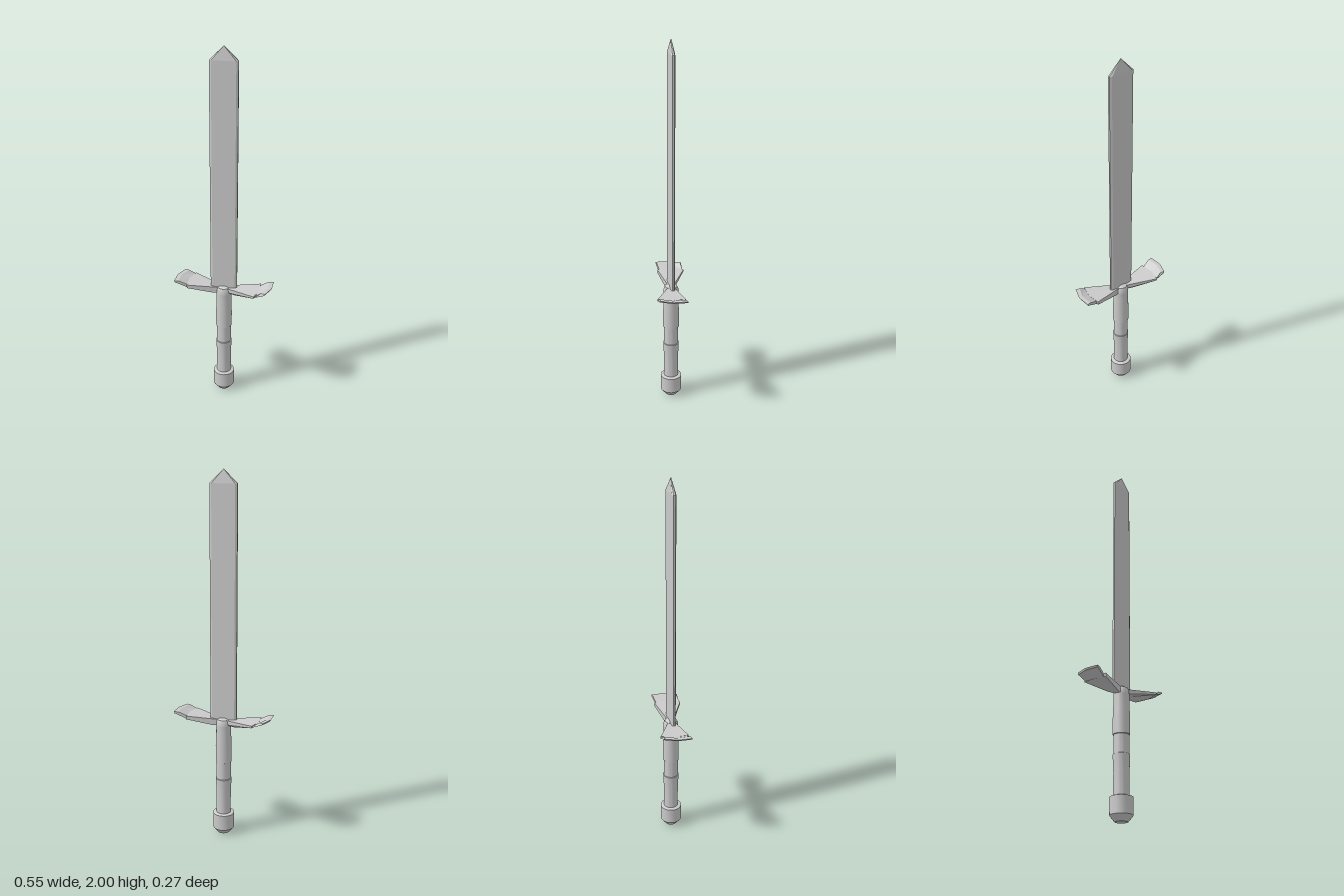
import * as THREE from 'three';
import { toCreasedNormals } from 'three/addons/utils/BufferGeometryUtils.js';

const smooth = new THREE.MeshStandardMaterial({ color: 0xcccccc });
const faceted = new THREE.MeshStandardMaterial({ color: 0xcccccc, flatShading: true, side: THREE.DoubleSide });

// Skins a row of cross-sections (each counter-clockwise seen from +z) and caps both ends.
function loft(rings) {
  const n = rings[0].length;
  const index = [];
  for (let r = 0; r < rings.length - 1; r++) {
    for (let i = 0; i < n; i++) {
      const a = r * n + i, b = r * n + (i + 1) % n;
      index.push(a, b, b + n, a, b + n, a + n);
    }
  }
  const last = (rings.length - 1) * n;
  for (let i = 1; i < n - 1; i++) {
    index.push(0, i + 1, i, last, last + i, last + i + 1);
  }
  const geometry = new THREE.BufferGeometry();
  geometry.setAttribute('position', new THREE.Float32BufferAttribute(rings.flat(2), 3));
  geometry.setIndex(index);
  const flat = geometry.toNonIndexed();
  flat.computeVertexNormals();
  return flat;
}

function mesh(name, geometry, material) {
  const m = new THREE.Mesh(geometry, material);
  m.name = name;
  return m;
}

function lathe(name, profile) {
  const points = profile.map(([r, y]) => new THREE.Vector2(r, y));
  return mesh(name, toCreasedNormals(new THREE.LatheGeometry(points, 24), 0.5), smooth);
}

// Flat blade with bevelled edges and a pointed end
function createBlade() {
  const section = (y, width, thickness) => [
    [0.073, -0.005], [0.073, 0.005], [0.062, 0.011],
    [-0.062, 0.011], [-0.073, 0.005], [-0.073, -0.005],
    [-0.062, -0.011], [0.062, -0.011],
  ].map(([x, z]) => [x * width, z * thickness, y]);
  const geometry = loft([section(0.665, 1, 1), section(1.93, 1, 1), section(2, 0.01, 0.15)]);
  geometry.rotateX(-Math.PI / 2);
  const blade = mesh('blade', geometry, faceted);
  blade.rotation.y = -0.165;
  return blade;
}

// One fan-shaped guard wing: an inner wedge and an upturned outer lip
function createWing(name) {
  const wing = new THREE.Group();
  wing.name = name;

  // Each station: inner x, z, bottom y; outer x, z, bottom y, top y
  const wedge = [
    [0.0, -0.012, 0.645, 0.205, -0.012, 0.672, 0.691],
    [0.0, 0.0, 0.645, 0.195, 0.065, 0.674, 0.691],
    [0.0, 0.012, 0.65, 0.16, 0.13, 0.68, 0.691],
  ].map(([x0, z0, b0, x1, z1, b1, t1]) => [
    [x0, b0, z0], [0.06 + x0, b0, z0 + (z1 - z0) * 0.3],
    [x1, b1, z1], [x1, t1, z1], [x0, 0.676, z0],
  ]);

  // Each station: foot x and z, crest x and z, tip x and z, foot bottom y
  const lip = [
    [0.205, -0.001, 0.25, -0.001, 0.275, -0.001, 0.672],
    [0.192, 0.066, 0.24, 0.068, 0.261, 0.073, 0.674],
    [0.165, 0.125, 0.2, 0.126, 0.221, 0.136, 0.682],
  ].map(([fx, fz, cx, cz, tx, tz, b]) => [
    [fx, b, fz], [tx - 0.005, 0.701, tz], [tx, 0.71, tz], [cx, 0.71, cz], [fx, 0.69, fz],
  ]);

  wing.add(mesh('wingWedge', loft(wedge), faceted), mesh('wingLip', loft(lip), faceted));
  return wing;
}

export function createModel() {
  const sword = new THREE.Group();
  sword.name = 'sword';
  sword.position.z = -0.002;

  // Chamfered pommel
  sword.add(lathe('pommel', [[0, 0], [0.033, 0], [0.059, 0.032], [0.059, 0.12], [0.043, 0.125], [0, 0.125]]));

  // Grip with a narrower band in the middle
  sword.add(lathe('grip', [
    [0.04, 0.12], [0.04, 0.24], [0.044, 0.33], [0.04, 0.332], [0.04, 0.43],
    [0.044, 0.432], [0.044, 0.52], [0.041, 0.6], [0.041, 0.645],
  ]));

  // Domed collar under the blade
  sword.add(lathe('collar', [[0.041, 0.645], [0.04, 0.665], [0.034, 0.679], [0.02, 0.686], [0, 0.689]]));

  // Guard: the same wing turned half way round
  const leftWing = createWing('leftGuardWing');
  const rightWing = createWing('rightGuardWing');
  rightWing.rotation.y = Math.PI;
  sword.add(leftWing, rightWing);

  sword.add(createBlade());

  const model = new THREE.Group();
  model.add(sword);
  return model;
}
